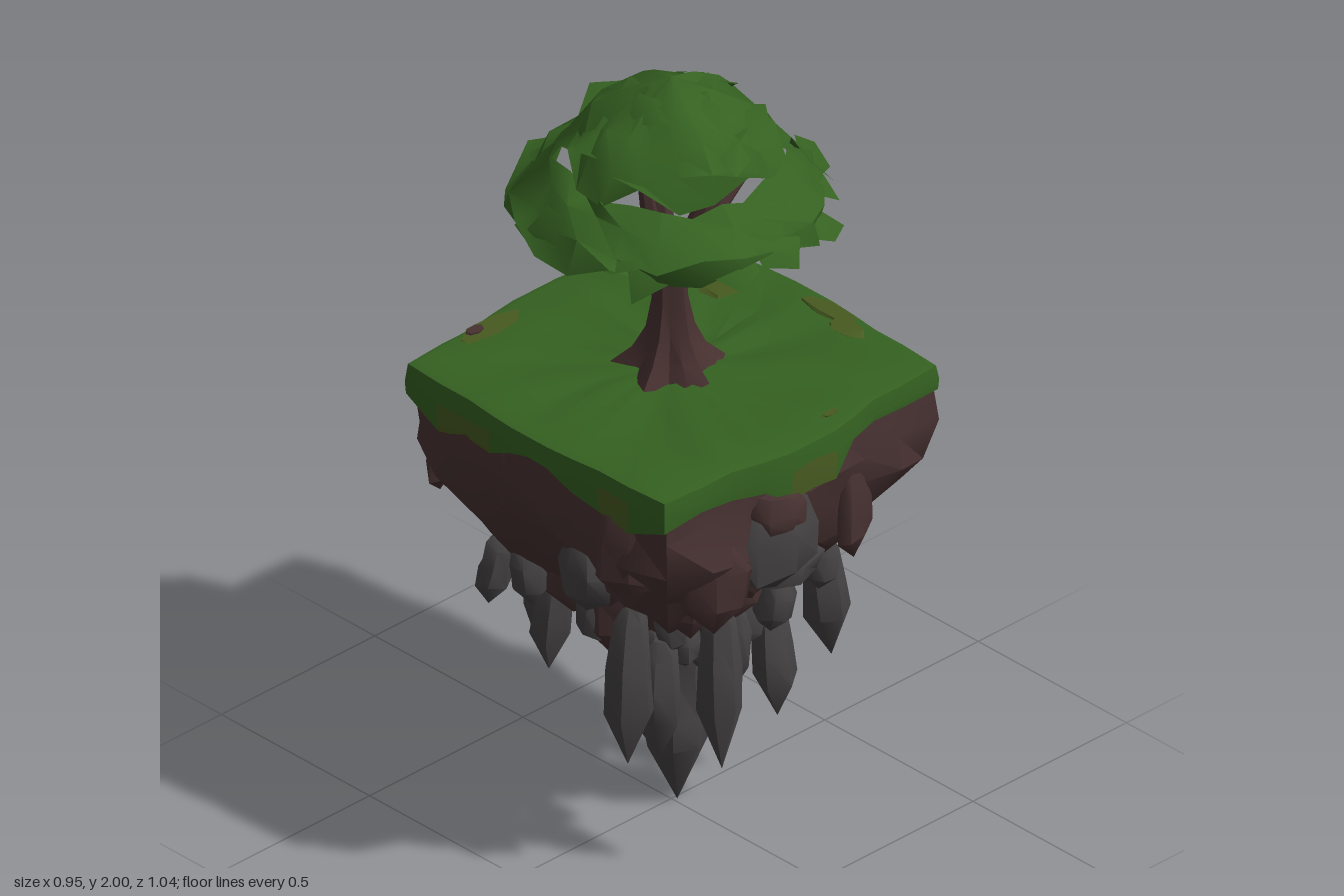
import * as THREE from 'three';
import { toCreasedNormals } from 'three/addons/utils/BufferGeometryUtils.js';

const TAU = Math.PI * 2;

export function createModel() {
  const model = new THREE.Group();
  model.name = 'floatingIsland';

  const paint = (name, color, side = THREE.FrontSide) => {
    const m = new THREE.MeshStandardMaterial({ color, side });
    m.name = name;
    return m;
  };
  const grassMat = paint('grass green', 0x356121, THREE.DoubleSide);
  const mossMat = paint('olive moss', 0x475a20, THREE.DoubleSide);
  const soilMat = paint('soil brown', 0x473131);
  const rockMat = paint('rock grey', 0x444142);
  const barkMat = paint('bark brown', 0x473030);

  // seeded noise
  let seed = 7;
  const rand = () => (seed = (seed * 16807) % 2147483647) / 2147483647;
  const jit = (a) => (rand() * 2 - 1) * a;

  const add = (name, geo, mat, parent = model, crease = 0.6) => {
    const mesh = new THREE.Mesh(toCreasedNormals(geo, crease), mat);
    mesh.name = name;
    parent.add(mesh);
    return mesh;
  };
  const group = (name) => {
    const g = new THREE.Group();
    g.name = name;
    model.add(g);
    return g;
  };

  // closed skin from rings listed top to bottom; point(row, angle, col) gives [x, y, z]
  function skin(rows, cols, point) {
    const pos = [], idx = [];
    for (let j = 0; j < rows; j++)
      for (let i = 0; i < cols; i++) pos.push(...point(j, (i / cols) * TAU, i));
    for (let j = 0; j < rows - 1; j++)
      for (let i = 0; i < cols; i++) {
        const n = (i + 1) % cols;
        const a = j * cols + i, b = a + cols, c = b - i + n, d = j * cols + n;
        idx.push(a, b, c, a, c, d);
      }
    const g = new THREE.BufferGeometry();
    g.setAttribute('position', new THREE.Float32BufferAttribute(pos, 3));
    g.setIndex(idx);
    return g;
  }
  // radius of a rounded square with half size h
  const square = (h, p, a) =>
    h / Math.pow(Math.abs(Math.sin(a)) ** p + Math.abs(Math.cos(a)) ** p, 1 / p);

  // soil body: square at the top, tapering to a point
  const soilRings = [[1.18, 0.438, 40], [1.06, 0.452, 14], [0.97, 0.455, 8], [0.87, 0.425, 5], [0.78, 0.36, 4],
    [0.69, 0.285, 3], [0.61, 0.22, 2], [0.53, 0.14, 2], [0.45, 0.06, 2], [0.4, 0, 2]];
  add('soilBody', skin(soilRings.length, 32, (j, a) => {
    const [y, h, p] = soilRings[j];
    const rough = j > 0 && h > 0 ? 1 : 0;
    const r = square(h, p, a) + rough * jit(0.022);
    return [r * Math.sin(a), y + rough * jit(0.025), r * Math.cos(a)];
  }), soilMat, model, 0.5);

  // outline of the grass: a square that swells in the middle of the front and back
  const grassEdge = (a, inset) => {
    const r = square(0.45 - inset, 40, a);
    const swell = Math.min(1, 2 * Math.max(0, Math.cos(4 * a)));
    const z = r * Math.cos(a), x = r * Math.sin(a);
    const nearZ = Math.abs(z) > 0.8 * r;
    return [x + (nearZ ? 0 : Math.sign(x) * 0.015 * swell),
      z + (nearZ ? (z > 0 ? 0.036 : -0.022) * swell : 0) + (z < 0 ? 0.012 : -0.007)];
  };
  const top = [[1.2, 0], [1.197, 0.35], [1.197, 0.7], [1.205, 0.96], [1.2, 1]];
  add('grassTop', skin(top.length, 40, (j, a) => {
    const [x, z] = grassEdge(a, 0);
    const [y, k] = top[j];
    return [x * k, y + (j === 1 || j === 2 ? jit(0.01) : 0), z * k];
  }), grassMat, model, 0.8);

  // ragged hem lapping over the sides, with drooping mossy stretches
  const mossCols = [39, 0, 6, 7, 12, 13, 14, 17, 18, 22, 23, 26, 27, 33];
  const hem = skin(3, 40, (j, a, i) => {
    const [x, z] = grassEdge(a, j === 2 ? 0.002 : 0);
    const droop = mossCols.includes(i) || mossCols.includes((i + 39) % 40);
    const y = [1.2, 1.155 + jit(0.01), (droop ? 1.09 : 1.13) + jit(0.022)][j];
    const out = j ? 1.012 : 1;
    return [x * out, y, z * out];
  });
  hem.addGroup(0, 240, 0);
  for (let i = 0; i < 40; i++) hem.addGroup(240 + i * 6, 6, mossCols.includes(i) ? 1 : 0);
  add('grassHem', hem, [grassMat, mossMat]);

  // irregular lump, used for boulders, clods and stones
  function lump(name, mat, parent, x, y, z, sx, sy, sz, turn = 0) {
    const profile = [[1, 0], [0.85, 0.65], [0.25, 1], [-0.5, 0.9], [-1, 0]];
    const mesh = add(name, skin(5, 7, (j, a) => {
      const [h, w] = profile[j];
      const r = w * (1 + jit(0.14));
      return [r * Math.sin(a), h + (w ? jit(0.1) : 0), r * Math.cos(a)];
    }), mat, parent, 0.9);
    mesh.scale.set(sx, sy, sz);
    mesh.position.set(x, y, z);
    mesh.rotation.y = turn;
    return mesh;
  }

  // boulders set into the four sides
  const boulders = group('sideBoulders');
  [[-0.08, 0.95, 0.435, 0.135, 0.135, 0.075], [-0.02, 0.84, 0.39, 0.11, 0.06, 0.07],
    [0.17, 0.95, -0.425, 0.15, 0.155, 0.095], [-0.42, 0.87, 0.15, 0.06, 0.1, 0.08]]
    .forEach((b) => lump('boulder', rockMat, boulders, ...b));

  // clods of earth along the faces and the taper
  const clods = group('soilClods');
  lump('clod', soilMat, clods, -0.09, 1.03, 0.45, 0.08, 0.07, 0.065);
  lump('clod', soilMat, clods, 0.42, 0.94, 0.04, 0.055, 0.14, 0.13);
  for (let k = 0; k < 26; k++) {
    const a = (k / 26) * TAU + jit(0.1);
    const low = k % 2;
    const y = low ? 0.73 + jit(0.06) : 0.96 + jit(0.07);
    const r = square(low ? 0.3 : 0.42, low ? 3 : 8, a);
    lump('clod', soilMat, clods, r * Math.sin(a), y, r * Math.cos(a),
      0.09, 0.1 + rand() * 0.05, low ? 0.055 : 0.035, a);
  }

  // hanging rock spikes: x, z, tip height, top height, half width
  const spikes = group('hangingRocks');
  function spike(x, z, tip, topY, w) {
    const profile = [[1, 0], [1, 0.3], [0.9, 0.72], [0.62, 0.95], [0.36, 1], [0, 0]];
    add('rockSpike', skin(6, 6, (j, a) => {
      const [h, r0] = profile[j];
      const r = r0 * w * (1 + jit(0.15));
      return [x + r * Math.sin(a) - x * 0.08 * (h - 0.5),
        tip + h * (topY - tip) + (r0 && j > 1 ? jit(0.015) : 0), z + r * Math.cos(a) - z * 0.08 * (h - 0.5)];
    }), rockMat, spikes, 0.85);
  }
  [[-0.31, 0.18, 0.32, 0.74, 0.06], [0.29, -0.2, 0.37, 0.72, 0.06], [0.27, 0.24, 0.39, 0.72, 0.055],
    [-0.16, 0.33, 0.31, 0.74, 0.055], [-0.1, -0.32, 0.3, 0.74, 0.058], [-0.23, 0.2, 0.31, 0.62, 0.052],
    [0.13, 0.21, 0.27, 0.58, 0.058], [-0.2, -0.19, 0.36, 0.65, 0.05], [0.2, -0.19, 0.4, 0.66, 0.05],
    [0.34, 0.05, 0.57, 0.76, 0.045], [-0.36, -0.22, 0.6, 0.78, 0.045], [0.02, -0.25, 0.35, 0.64, 0.052],
    [-0.08, 0.29, 0.48, 0.7, 0.045], [0.11, -0.12, 0.38, 0.58, 0.042], [-0.09, 0.06, 0.36, 0.55, 0.038]]
    .forEach((s) => spike(...s));
  // large central spike
  add('centralSpike', skin(6, 7, (j, a) => {
    const [y, r0] = [[0.56, 0.03], [0.44, 0.06], [0.36, 0.055], [0.25, 0.075], [0.17, 0.08], [0, 0]][j];
    const r = r0 * (1 + jit(0.12));
    return [0.01 + r * Math.sin(a), y, 0.01 + r * Math.cos(a)];
  }), rockMat, spikes, 0.85);

  // stones clustered under the soil
  const stones = group('underStones');
  for (let k = 0; k < 30; k++) {
    const a = k * 2.4, y = 0.49 + (k / 30) * 0.25;
    const r = 0.11 + (y - 0.49) * 1.04 + jit(0.02);
    const s = 0.034 + rand() * 0.02;
    const stone = lump('stone', rockMat, stones, r * Math.sin(a), y, r * Math.cos(a), s, s * 1.6, s, a);
    stone.rotation.z = jit(0.4);
  }

  // worn patches on the grass: x, z, width, depth, material
  const patches = group('wornPatches');
  [[0.34, -0.17, 0.075, 0.06, mossMat], [0.425, 0.1, 0.025, 0.09, mossMat], [0.4, 0.18, 0.03, 0.05, mossMat],
    [-0.2, -0.405, 0.1, 0.03, mossMat], [0.11, 0.42, 0.025, 0.008, mossMat],
    [0.36, -0.155, 0.022, 0.027, soilMat], [-0.24, -0.415, 0.028, 0.014, soilMat]].forEach(([x, z, w, d, mat]) => {
    const p = add('wornPatch', skin(3, 7, (j, a) => {
      const r = j ? 1 + jit(0.2) : 0;
      return [r * w * Math.sin(a), j < 2 ? 0.003 : -0.004, r * d * Math.cos(a)];
    }), mat, patches);
    p.position.set(x, mat === soilMat ? 1.212 : 1.207, z);
  });

  // trunk with flared roots
  const tree = group('tree');
  const trunkRings = [[1.56, 0.025], [1.47, 0.04], [1.38, 0.04], [1.3, 0.052], [1.24, 0.075], [1.19, 0.115]];
  add('trunk', skin(6, 15, (j, a) => {
    const [y, r0] = trunkRings[j];
    const r = r0 * (1 + (0.06 + j * 0.05) * Math.cos(5 * a + 0.5) + jit(0.04));
    return [r * Math.sin(a), y, r * Math.cos(a)];
  }), barkMat, tree);

  // tapered branches: five spreading, three steep
  for (let k = 0; k < 8; k++) {
    const spreading = k < 5;
    const a = spreading ? (k / 5) * TAU + 1.4 : (k / 3) * TAU + 0.6;
    const reach = spreading ? 0.28 : 0.11, end = spreading ? 1.73 : 1.87;
    const at = (r, y) => new THREE.Vector3(r * Math.sin(a), y, r * Math.cos(a));
    const curve = new THREE.CatmullRomCurve3([at(0.005, 1.45), at(reach * 0.25, 1.52), at(reach * 0.7, 1.65), at(reach, end)]);
    const geo = new THREE.TubeGeometry(curve, 6, 0.03, 6);
    const p = geo.attributes.position, v = new THREE.Vector3();
    for (let i = 0; i < p.count; i++) {
      const t = Math.floor(i / 7) / 6;
      v.fromBufferAttribute(p, i).lerp(curve.getPointAt(t), t * 0.65);
      p.setXYZ(i, v.x, v.y, v.z);
    }
    add('branch', geo, barkMat, tree, 1);
  }

  // hollow canopy: a cap above a skirt, both with ragged edges that leave a few gaps
  const canopy = group('canopy');
  const shell = (name, rings, cols, ragTop, ragBottom) =>
    add(name, skin(rings.length, cols, (j, a, i) => {
      let [y, r] = rings[j];
      if (j === rings.length - 1) y += (i % 3 ? -0.5 : 1) * ragBottom + jit(0.015);
      else if (j === 0 && ragTop) y += (i % 4 ? 0.5 : -1) * ragTop;
      else if (r) y += jit(0.022);
      r *= 1 + jit(0.09);
      return [r * Math.sin(a), y, r * Math.cos(a)];
    }), grassMat, canopy, 0.8);
  shell('canopyCap', [[1.995, 0], [1.955, 0.1], [1.895, 0.175], [1.845, 0.225], [1.8, 0.265]], 18, 0, 0.04);
  shell('canopySkirt', [[1.775, 0.265], [1.745, 0.315], [1.7, 0.355], [1.655, 0.37]], 22, 0.02, 0.035);

  // bent leaf tufts scattered over the dome
  const dome = [[1.95, 0.1, 5], [1.885, 0.185, 7], [1.725, 0.325, 11], [1.685, 0.36, 15]];
  dome.forEach(([y, r, count], row) => {
    for (let k = 0; k < count; k++) {
      const a = ((k + jit(0.35)) / count) * TAU + row;
      const geo = new THREE.CircleGeometry(0.068 + rand() * 0.028, 5);
      const p = geo.attributes.position;
      for (let i = 1; i < p.count - 1; i++)
        p.setXYZ(i, p.getX(i) * (1 + jit(0.3)), p.getY(i) * (0.65 + jit(0.25)), -0.015 + jit(0.025));
      p.setXYZ(p.count - 1, p.getX(1), p.getY(1), p.getZ(1));
      const leaf = add('leafTuft', geo, grassMat, canopy, 0.9);
      leaf.position.set(r * Math.sin(a), y + jit(0.015), r * Math.cos(a) + 0.01);
      leaf.rotation.set(-1.1 + row * 0.1 + jit(0.25), a + jit(0.25), jit(0.6), 'YXZ');
    }
  });

  return model;
}
